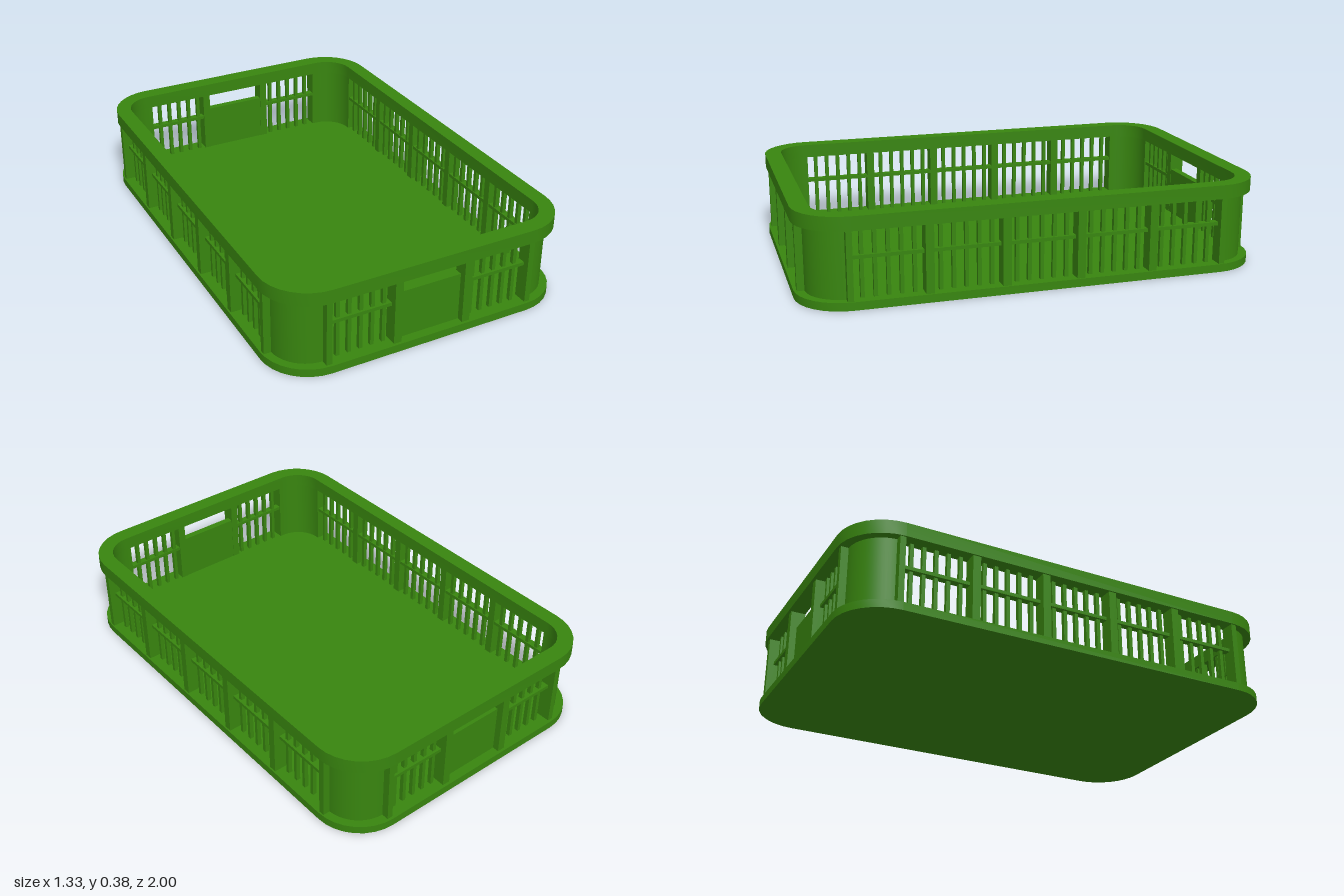
import * as THREE from 'three';
import { toCreasedNormals } from 'three/addons/utils/BufferGeometryUtils.js';

const material = new THREE.MeshStandardMaterial({ color: 0x38850f });
const W = 0.665, L = 1;            // half outer size of the rim and base
const IW = 0.595, IL = 0.925;      // half inner size
const BASE = 0.035, RIM = 0.325, TOP = 0.385;

function add(parent, name, geometry) {
  const mesh = new THREE.Mesh(geometry, material);
  mesh.name = name;
  parent.add(mesh);
  return mesh;
}

// Box given by its minimum and maximum corners
function box(parent, name, x0, x1, y0, y1, z0, z1) {
  const mesh = add(parent, name, new THREE.BoxGeometry(x1 - x0, y1 - y0, z1 - z0));
  mesh.position.set((x0 + x1) / 2, (y0 + y1) / 2, (z0 + z1) / 2);
}

function roundedRect(path, w, l, r) {
  path.absarc(w - r, l - r, r, 0, Math.PI / 2);
  path.absarc(r - w, l - r, r, Math.PI / 2, Math.PI);
  path.absarc(r - w, r - l, r, Math.PI, Math.PI * 1.5);
  path.absarc(w - r, r - l, r, Math.PI * 1.5, Math.PI * 2);
  path.closePath();
  return path;
}

// Extrude a plan shape upward between two heights
function slab(shape, y0, y1, curveSegments) {
  const g = new THREE.ExtrudeGeometry(shape, { depth: y1 - y0, bevelEnabled: false, curveSegments });
  g.rotateX(-Math.PI / 2).translate(0, y0, 0);
  return toCreasedNormals(g, 0.6);
}

// One wall in local axes: u along x, outward along +z, inner face at z = 0
function wall(name, ribs, bars, railSpans) {
  const g = new THREE.Group();
  g.name = name;
  for (const [u, width] of ribs) box(g, 'rib', u - width / 2, u + width / 2, BASE, RIM, 0, 0.063);
  for (const u of bars) box(g, 'slat', u - 0.008, u + 0.008, BASE, RIM, 0.008, 0.026);
  for (const [a, b] of railSpans) box(g, 'rail', a, b, 0.2, 0.215, 0.004, 0.036);
  return g;
}

export function createModel() {
  const crate = new THREE.Group();
  crate.name = 'crate';

  // Base and top rim
  add(crate, 'base', slab(roundedRect(new THREE.Shape(), W, L, 0.21), 0, BASE, 4));
  const rim = roundedRect(new THREE.Shape(), W, L, 0.21);
  rim.holes.push(roundedRect(new THREE.Path(), IW, IL, 0.125));
  add(crate, 'topRim', slab(rim, RIM, TOP, 4));

  // Curved corner walls
  for (const sx of [1, -1]) for (const sz of [1, -1]) {
    const start = sx > 0 ? (sz > 0 ? 0 : 1.5 * Math.PI) : (sz > 0 ? Math.PI / 2 : Math.PI);
    const end = start + Math.PI / 2;
    const corner = new THREE.Shape();
    corner.absarc(sx * 0.47, sz * 0.8, 0.157, start, end, false);
    corner.absarc(sx * 0.47, sz * 0.8, 0.125, end, start, true);
    corner.closePath();
    add(crate, 'cornerWall', slab(corner, BASE, RIM, 8));
  }

  // Long side walls: six ribs with five slats in each bay
  const ribZ = [-0.8, -0.48, -0.16, 0.16, 0.48, 0.8];
  const slats = [];
  for (let i = 0; i < 5; i++) for (let k = 1; k <= 5; k++) slats.push(ribZ[i] + k * 0.32 / 6);
  for (const s of [1, -1]) {
    const side = wall(s > 0 ? 'leftWall' : 'rightWall',
      ribZ.map(z => [z, Math.abs(z) > 0.7 ? 0.025 : 0.035]), slats, [[-0.8, 0.8]]);
    side.rotation.y = s * Math.PI / 2;
    side.position.x = s * IW;
    crate.add(side);
  }

  // Short end walls: slatted bays either side of a panel with a hand hole above
  const endSlats = [];
  for (let k = 0; k < 5; k++) endSlats.push(0.204 + k * 0.051, -0.204 - k * 0.051);
  for (const s of [1, -1]) {
    const end = wall(s > 0 ? 'frontWall' : 'backWall',
      [[-0.463, 0.025], [-0.159, 0.035], [0.159, 0.035], [0.463, 0.025]],
      endSlats, [[-0.463, -0.159], [0.159, 0.463]]);
    box(end, 'handlePanel', -0.142, 0.142, BASE, 0.25, 0.002, 0.034);
    end.rotation.y = s > 0 ? 0 : Math.PI;
    end.position.z = s * IL;
    crate.add(end);
  }
  return crate;
}
